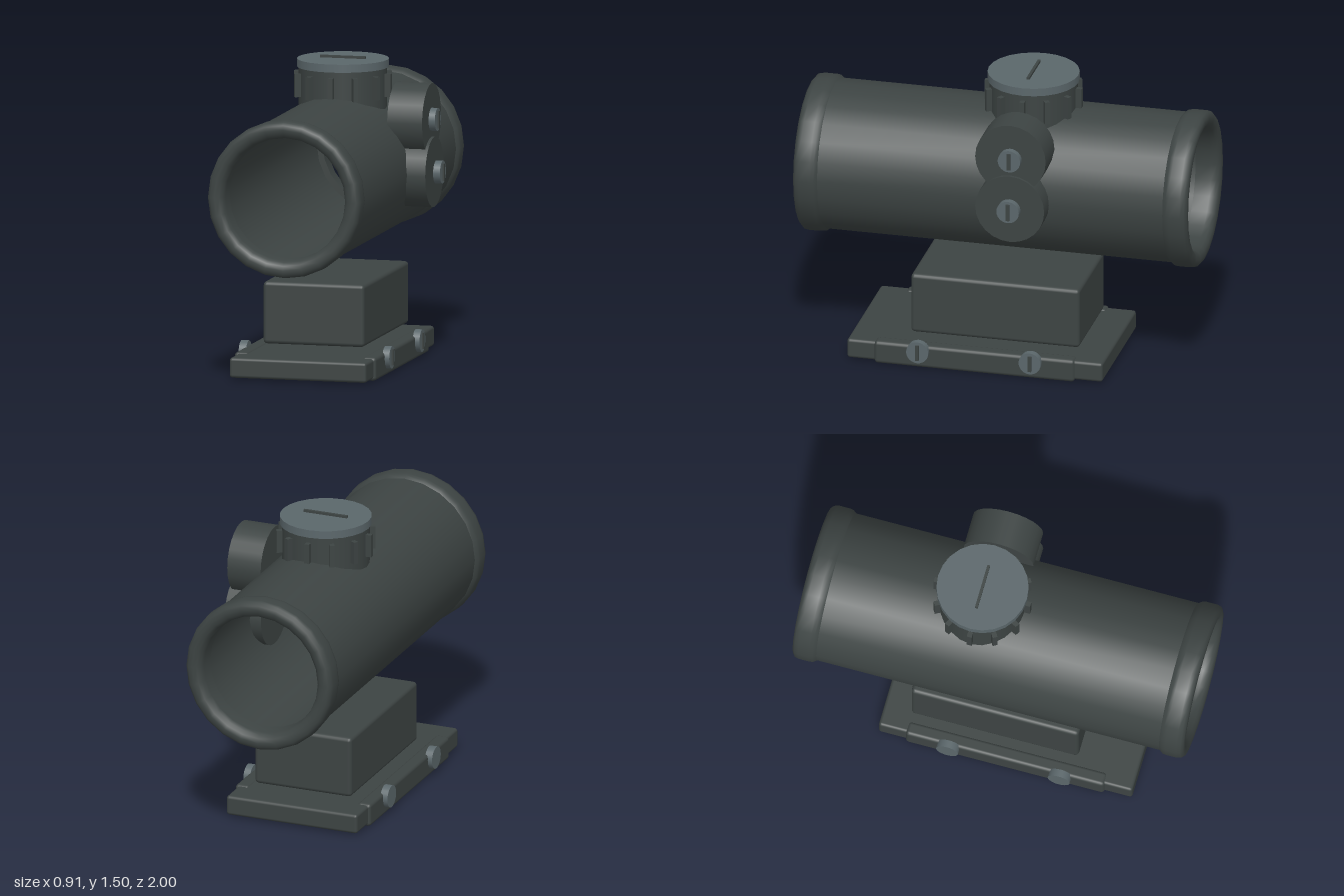
import * as THREE from 'three';
import { toCreasedNormals } from 'three/addons/utils/BufferGeometryUtils.js';
import { RoundedBoxGeometry } from 'three/addons/geometries/RoundedBoxGeometry.js';

const CX = -0.065; // optical axis x
const CY = 0.945;  // optical axis y
const KZ = -0.125; // z of the adjustment knobs

export function createModel() {
  const root = new THREE.Group();
  const body = new THREE.MeshStandardMaterial({ color: 0x3d4443 });
  body.name = 'dark body';
  const steel = new THREE.MeshStandardMaterial({ color: 0x5b676b });
  steel.name = 'grey steel';

  const add = (name, geo, mat, x, y, z, parent = root) => {
    const m = new THREE.Mesh(geo, mat);
    m.name = name;
    m.position.set(x, y, z);
    parent.add(m);
    return m;
  };

  // Rounded box given by its extents
  const block = (name, x0, x1, y0, y1, z0, z1, r) =>
    add(name, new RoundedBoxGeometry(x1 - x0, y1 - y0, z1 - z0, 2, r), body,
      (x0 + x1) / 2, (y0 + y1) / 2, (z0 + z1) / 2);

  // Ring-shaped part around the optical axis, profile as [radius, z]
  const ring = (name, profile) => {
    const geo = new THREE.LatheGeometry(profile.map(([r, z]) => new THREE.Vector2(r, z)), 24);
    geo.rotateX(Math.PI / 2);
    return add(name, toCreasedNormals(geo, 0.75), body, CX, CY, 0);
  };

  // Open main tube with a wall
  ring('mainTube', [[0.375, -0.9], [0.375, 0.9], [0.335, 0.9], [0.335, -0.9], [0.375, -0.9]]);

  // Rounded collars at both ends
  const collar = [[0.335, 0.875], [0.375, 0.875], [0.388, 0.892], [0.391, 0.91], [0.391, 0.965],
    [0.386, 0.985], [0.372, 0.997], [0.35, 1], [0.328, 0.994], [0.312, 0.98], [0.305, 0.955],
    [0.305, 0.875], [0.335, 0.875]];
  ring('frontCollar', collar);
  ring('rearCollar', collar.map(([r, z]) => [r, -z]).reverse());

  // Top turret: drum, grip ribs, steel cap with a raised bar
  const turret = new THREE.Group();
  turret.name = 'topTurret';
  turret.position.set(CX, 0, -0.13);
  root.add(turret);
  add('turretDrum', new THREE.CylinderGeometry(0.218, 0.218, 0.21, 24), body, 0, 1.35, 0, turret);
  add('turretCap', new THREE.CylinderGeometry(0.227, 0.227, 0.04, 24), steel, 0, 1.47, 0, turret);
  add('turretCapBar', new THREE.BoxGeometry(0.23, 0.016, 0.014), body, 0, 1.494, 0, turret);
  for (let i = 0; i < 12; i++) {
    const a = i * Math.PI / 6;
    const rib = add('turretRib', new THREE.BoxGeometry(0.05, 0.115, 0.025), body,
      0.221 * Math.cos(a), 1.363, 0.221 * Math.sin(a), turret);
    rib.rotation.y = -a;
  }

  // Disc whose axis lies along x
  const disc = (name, mat, x0, x1, y, z, r) => {
    const geo = new THREE.CylinderGeometry(r, r, x1 - x0, 24).rotateZ(-Math.PI / 2);
    return add(name, geo, mat, (x0 + x1) / 2, y, z);
  };
  const slot = (name, x, y, z, len) =>
    add(name, new THREE.BoxGeometry(0.018, len, 0.018), body, x, y, z);

  // Side knobs with slotted screws
  disc('upperKnob', body, 0.21, 0.388, 1.204, KZ, 0.179);
  disc('upperKnobScrew', steel, 0.385, 0.42, 1.204, KZ, 0.057);
  slot('upperKnobSlot', 0.42, 1.204, KZ, 0.085);
  disc('lowerKnob', body, 0.21, 0.403, 0.943, KZ, 0.175);
  disc('lowerKnobScrew', steel, 0.411, 0.446, 0.943, KZ, 0.057);
  slot('lowerKnobSlot', 0.446, 0.943, KZ, 0.085);

  // Mount: riser block, base plate and clamp rails
  block('riserBlock', -0.322, 0.193, 0.14, 0.45, -0.425, 0.43, 0.02);
  block('basePlate', -0.412, 0.285, 0.01, 0.11, -0.565, 0.73, 0.015);
  block('leftRail', 0.225, 0.297, 0, 0.117, -0.425, 0.59, 0.018);
  block('rightRail', -0.425, -0.353, 0, 0.117, -0.425, 0.59, 0.018);

  // Clamp screws
  for (const z of [0.365, -0.205]) {
    disc('leftClampScrew', steel, 0.285, 0.32, 0.088, z, 0.056);
    slot('leftClampSlot', 0.32, 0.088, z, 0.08);
    disc('rightClampScrew', steel, -0.448, -0.41, 0.088, z, 0.056);
  }

  return root;
}
